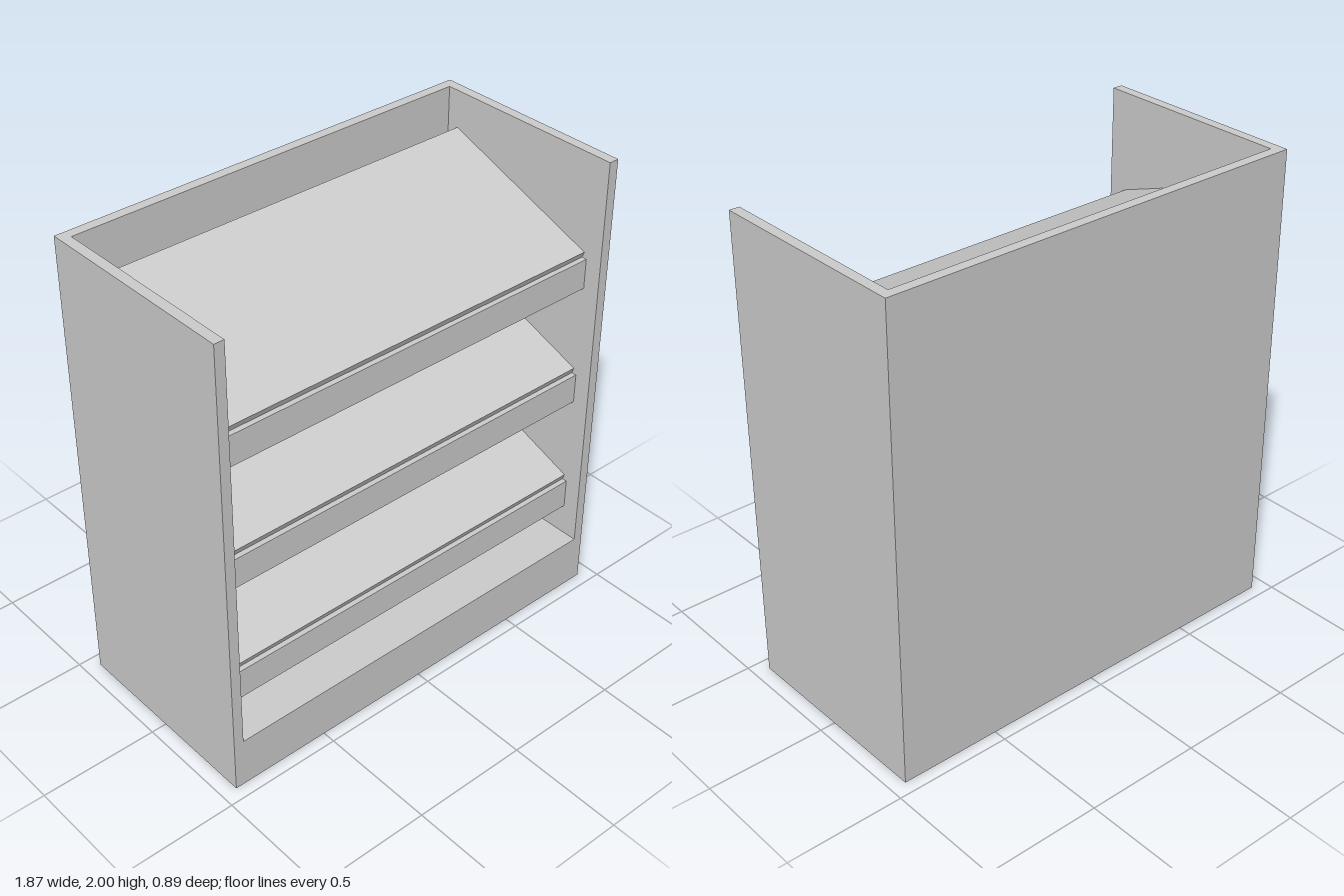
import * as THREE from 'three';

export function createModel() {
  const group = new THREE.Group();
  const paint = new THREE.MeshStandardMaterial({ color: 0xcccccc });
  paint.name = 'light grey';

  const W = 1.87, H = 2, D = 0.89, T = 0.043; // outer size and panel thickness
  const innerW = W - 2 * T;

  const box = (name, w, h, d, x, y, z, parent = group) => {
    const mesh = new THREE.Mesh(new THREE.BoxGeometry(w, h, d), paint);
    mesh.name = name;
    mesh.position.set(x, y, z);
    parent.add(mesh);
    return mesh;
  };

  // Cabinet: sides, back and solid base
  const baseH = 0.22;
  box('leftSide', T, H, D, W / 2 - T / 2, H / 2, 0);
  box('rightSide', T, H, D, -W / 2 + T / 2, H / 2, 0);
  box('backPanel', innerW, H, T, 0, H / 2, -D / 2 + T / 2);
  box('base', innerW, baseH, D - T, 0, baseH / 2, T / 2);

  // Three sloping shelves, each with an upright front rail
  const front = { z: 0.36, y: 0.515 }, rear = { z: -0.35, y: 0.772 };
  const run = front.z - rear.z, rise = rear.y - front.y;
  const tilt = Math.atan2(rise, run), thick = 0.04;
  for (let i = 0; i < 3; i++) {
    const unit = new THREE.Group();
    unit.name = `shelfUnit${i + 1}`;
    unit.position.y = i * 0.535;
    const shelf = box('shelf', innerW, thick, Math.hypot(run, rise), 0,
      (front.y + rear.y) / 2 - Math.cos(tilt) * thick / 2,
      (front.z + rear.z) / 2 - Math.sin(tilt) * thick / 2, unit);
    shelf.rotation.x = tilt;
    box('frontRail', innerW, 0.13, 0.04, 0, 0.424, 0.353, unit);
    group.add(unit);
  }
  return group;
}
